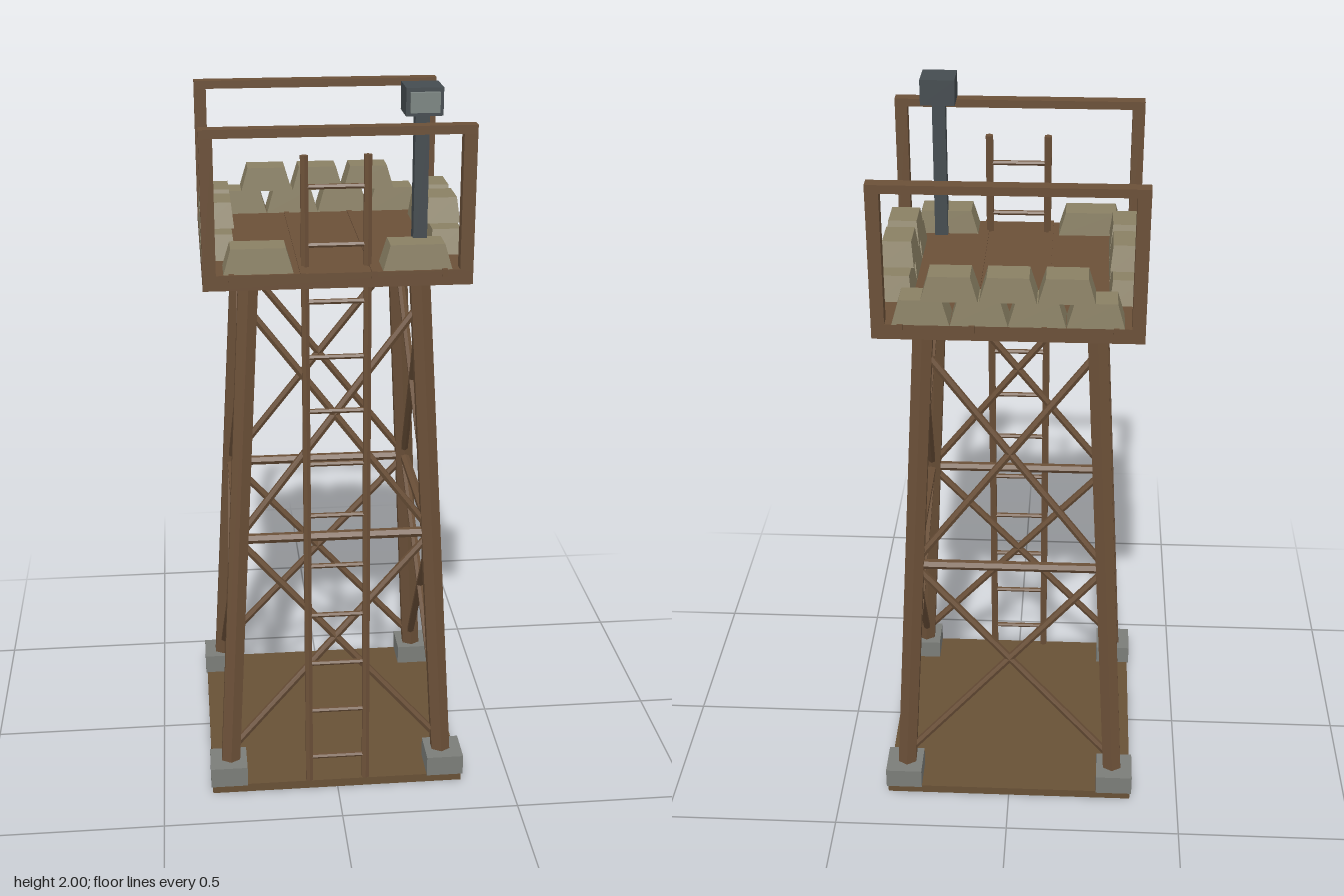
import * as THREE from 'three';

export function createModel() {
  const model = new THREE.Group();
  model.name = 'watchtower';
  const mat = (name, color, flat = true) => {
    const m = new THREE.MeshStandardMaterial({ color, flatShading: flat });
    m.name = name;
    return m;
  };
  const wood = mat('wood', 0x6b5038);
  const ground = mat('ground boards', 0x685136);
  const canvas = mat('sandbag canvas', 0x8a8064);
  const concrete = mat('concrete', 0x7b7d79);
  const metal = mat('dark metal', 0x454c50);
  const glass = mat('lamp glass', 0x7c8582);

  const add = (name, geometry, material, x = 0, y = 0, z = 0) => {
    const mesh = new THREE.Mesh(geometry, material);
    mesh.name = name;
    mesh.position.set(x, y, z);
    model.add(mesh);
    return mesh;
  };
  const box = (name, w, h, d, material, x, y, z) =>
    add(name, new THREE.BoxGeometry(w, h, d), material, x, y, z);

  // Straight faceted rod between two points
  const up = new THREE.Vector3(0, 1, 0);
  const rod = (name, a, b, radius, sides = 6) => {
    const from = new THREE.Vector3(...a), to = new THREE.Vector3(...b);
    const dir = to.clone().sub(from);
    const mesh = add(name, new THREE.CylinderGeometry(radius, radius, dir.length(), sides), wood);
    mesh.position.copy(from).add(to).multiplyScalar(0.5);
    mesh.quaternion.setFromUnitVectors(up, dir.normalize());
    return mesh;
  };

  // Sandbag: a box whose top is drawn in
  const bag = (length, x, y, z, turned) => {
    const g = new THREE.BoxGeometry(length, 0.065, 0.09);
    const p = g.attributes.position;
    for (let i = 0; i < p.count; i++) {
      if (p.getY(i) < 0) continue;
      p.setX(i, p.getX(i) - Math.sign(p.getX(i)) * 0.019);
      p.setZ(i, p.getZ(i) - Math.sign(p.getZ(i)) * 0.007);
    }
    g.computeVertexNormals();
    const mesh = add('sandbag', g, canvas, x, y + 0.0325, z);
    if (turned) mesh.rotation.y = Math.PI / 2;
  };

  // Base, footings and leaning legs
  box('base', 0.72, 0.025, 0.72, ground, 0, 0.0125, 0);
  const legAt = (y) => 0.307 - (y - 0.05) * 0.0565;
  for (const sx of [-1, 1]) for (const sz of [-1, 1]) {
    box('footing', 0.105, 0.06, 0.105, concrete, sx * 0.312, 0.053, sz * 0.312);
    const b = legAt(0.05), t = legAt(1.51);
    rod('leg', [sx * b, 0.05, sz * b], [sx * t, 1.51, sz * t], 0.03);
  }

  // Cross braces and middle beam on all four sides
  for (let side = 0; side < 4; side++) {
    const turn = (u, y) => {
      const v = new THREE.Vector3(u * legAt(y), y, legAt(y));
      return v.applyAxisAngle(up, side * Math.PI / 2).toArray();
    };
    rod('middle beam', turn(-1, 0.765), turn(1, 0.765), 0.014);
    for (const s of [-1, 1]) {
      rod('lower brace', turn(-s, 0.11), turn(s, 0.76), 0.011);
      rod('upper brace', turn(-s, 0.77), turn(s, 1.42), 0.011);
    }
  }

  // Platform with floor battens
  box('platform', 0.69, 0.04, 0.69, wood, 0, 1.525, 0);
  for (const x of [-0.272, -0.091, 0.091, 0.272])
    box('floor batten', 0.014, 0.02, 0.7, wood, x, 1.538, 0);

  // Front and back railings
  for (const z of [-0.328, 0.328]) {
    for (const x of [-0.328, 0.328])
      box('railing post', 0.034, 0.37, 0.034, wood, x, 1.725, z);
    box('railing bar', 0.69, 0.022, 0.036, wood, 0, 1.904, z);
  }

  // Ladder leaning through the front edge
  const ladderZ = (y) => 0.352 - (y - 0.025) * 0.0475;
  for (const s of [-1, 1])
    rod('ladder rail', [s * 0.081, 0.025, ladderZ(0.025)], [s * 0.081, 1.83, ladderZ(1.83)], 0.0115);
  for (let i = 0; i < 12; i++) {
    const y = 0.1 + i * 0.15;
    rod('ladder rung', [-0.081, y, ladderZ(y)], [0.081, y, ladderZ(y)], 0.007);
  }

  // Sandbag walls
  const low = 1.545, high = 1.61;
  for (const sx of [-1, 1]) {
    for (const z of [-0.142, 0, 0.142]) bag(0.138, sx * 0.3, low, z, true);
    for (const z of [-0.072, 0.068]) bag(0.135, sx * 0.3, high, z, true);
    bag(0.178, sx * 0.203, low, 0.295, false);
  }
  for (const x of [-0.22, -0.073, 0.073, 0.22]) bag(0.146, x, low, -0.3, false);
  for (const x of [-0.147, 0, 0.147]) bag(0.144, x, high, -0.3, false);

  // Searchlight
  box('lamp pole', 0.036, 0.39, 0.036, metal, 0.217, 1.74, 0.255);
  box('lamp housing', 0.094, 0.07, 0.094, metal, 0.217, 1.965, 0.255);
  box('lamp lens', 0.074, 0.05, 0.016, glass, 0.217, 1.965, 0.307);

  return model;
}
